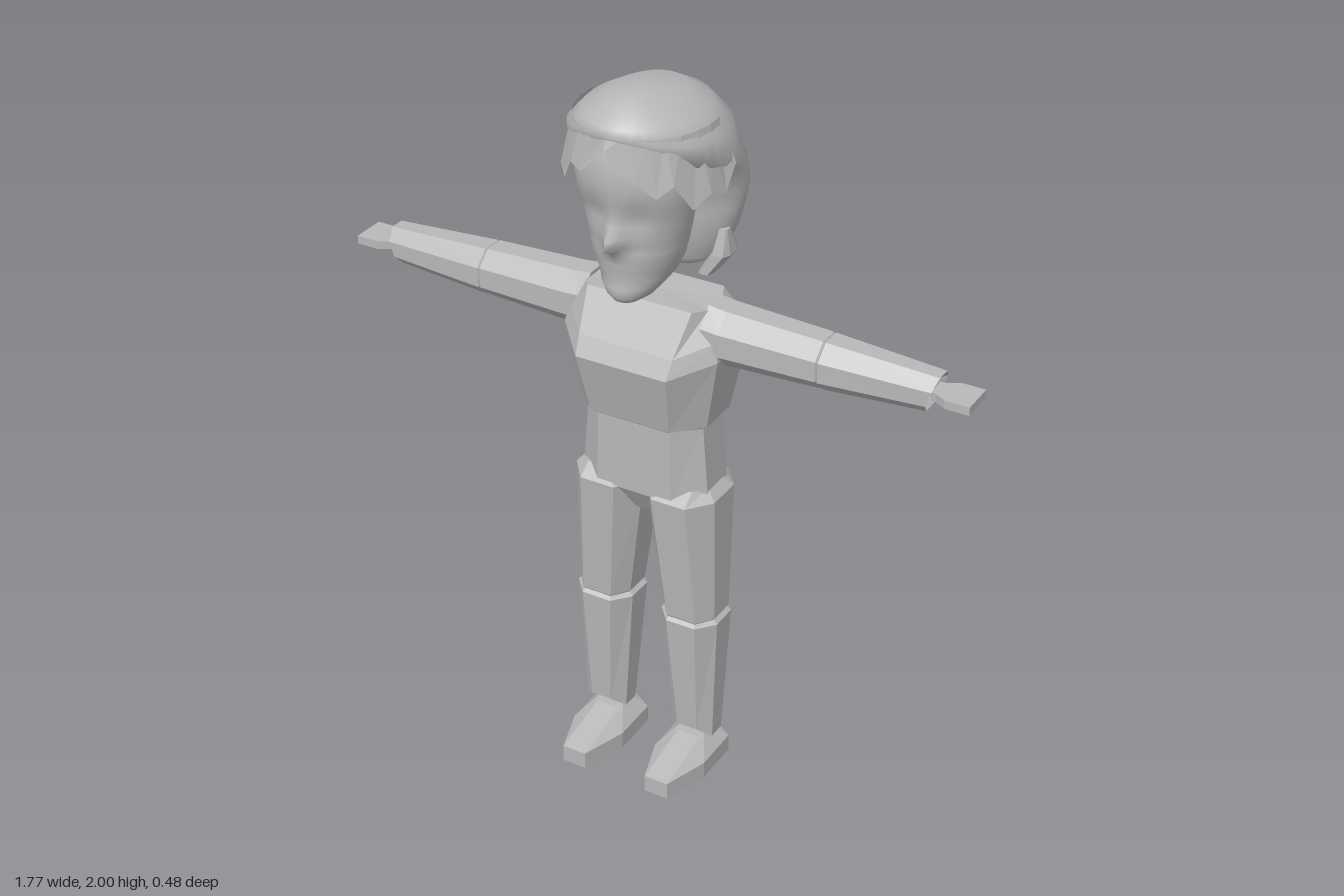
import * as THREE from 'three';

const gray = new THREE.MeshStandardMaterial({ color: 0xb8b8b8 });
gray.name = 'plain gray';

// Skins a list of closed rings (each turning positively about the travel axis) and caps both ends.
function loft(name, rings, smooth = false) {
  const n = rings[0].length, pos = rings.flat(2), idx = [];
  const at = (i, j) => i * n + (j % n);
  for (let i = 0; i < rings.length - 1; i++)
    for (let j = 0; j < n; j++) {
      const a = at(i, j), b = at(i, j + 1), c = at(i + 1, j + 1), d = at(i + 1, j);
      idx.push(a, b, c, a, c, d);
    }
  [0, rings.length - 1].forEach((r) => {
    const mid = [0, 1, 2].map((k) => rings[r].reduce((s, p) => s + p[k], 0) / n);
    const m = pos.length / 3;
    pos.push(...mid);
    for (let j = 0; j < n; j++)
      r ? idx.push(m, at(r, j), at(r, j + 1)) : idx.push(m, at(r, j + 1), at(r, j));
  });
  let g = new THREE.BufferGeometry();
  g.setAttribute('position', new THREE.Float32BufferAttribute(pos, 3));
  g.setIndex(idx);
  if (!smooth) g = g.toNonIndexed();
  g.computeVertexNormals();
  const mesh = new THREE.Mesh(g, gray);
  mesh.name = name;
  return mesh;
}

const mirror = (rings) => rings.map((r) => r.map(([x, y, z]) => [-x, y, z]).reverse());

// Eight-sided horizontal section: a, b = half widths of the front and back edges, w = overall half width.
function ring8({ cx = 0, y, ys = y, a, b = a, w, zf, zb, sf = zf * 0.4, sb = zb * 0.5 }) {
  return [[a, y, zf], [w, ys, sf], [w, ys, sb], [b, y, zb],
    [-b, y, zb], [-w, ys, sb], [-w, ys, sf], [-a, y, zf]].map(([x, yy, z]) => [cx + x, yy, z]);
}

// Octagonal arm section facing +x; the end can slant so that its top reaches further out.
function armRing(x, y, ry, rz, slant = 0) {
  return Array.from({ length: 8 }, (_, k) => {
    const t = (k + 0.5) * Math.PI / 4, c = Math.cos(t) / 0.924, s = Math.sin(t) / 0.924;
    return [x + slant * c, y + ry * c, -0.012 + rz * s];
  });
}

// Smooth oval section, with optional lift of its front.
function oval([y, w, zf, zb, lift = 0], n = 36) {
  return Array.from({ length: n }, (_, k) => {
    const t = k / n * Math.PI * 2, c = Math.cos(t);
    return [w * Math.sin(t), y + lift * Math.max(0, c) ** 2, (zf + zb) / 2 + (zf - zb) / 2 * c];
  });
}

const bump = (v, centre, width) => Math.exp(-(((v - centre) / width) ** 2));

function buildHead() {
  const head = new THREE.Group();
  head.name = 'head';

  // Face with nose, lips and eye hollows
  const rows = [[1.47, 0.035, 0.165, 0.09], [1.485, 0.06, 0.175, 0.04], [1.51, 0.08, 0.178, 0],
    [1.535, 0.097, 0.168, -0.03], [1.56, 0.108, 0.18, -0.05], [1.575, 0.114, 0.174, -0.05],
    [1.59, 0.119, 0.183, -0.05], [1.615, 0.126, 0.178, -0.05], [1.635, 0.13, 0.18, -0.05],
    [1.66, 0.136, 0.183, -0.05], [1.69, 0.142, 0.185, -0.05], [1.72, 0.148, 0.19, -0.05],
    [1.75, 0.153, 0.203, -0.05], [1.8, 0.16, 0.208, -0.05], [1.86, 0.16, 0.205, -0.05],
    [1.91, 0.145, 0.185, -0.05]];
  const face = rows.map((r) => oval(r).map(([x, y, z]) => {
    if (z < 0.08) return [x, y, z];
    const nose = 0.058 * bump(x, 0, 0.022) * bump(y, 1.637, y > 1.637 ? 0.055 : 0.02);
    const eyes = 0.014 * bump(Math.abs(x), 0.058, 0.03) * bump(y, 1.715, 0.028);
    return [x, y, z + nose - eyes];
  }));
  head.add(loft('face', face, true));

  // Hair cap and back of the hair
  const hair = [[1.5, 0.1, -0.03, -0.15], [1.53, 0.15, 0, -0.185], [1.62, 0.185, 0.01, -0.2],
    [1.67, 0.196, 0.02, -0.22], [1.72, 0.2, 0.02, -0.24], [1.79, 0.205, 0.07, -0.225, 0.05],
    [1.83, 0.21, 0.2, -0.212, 0.06], [1.9, 0.198, 0.225, -0.197, 0.03], [1.95, 0.15, 0.21, -0.155],
    [1.985, 0.088, 0.17, -0.09], [2, 0.03, 0.11, 0.02]];
  head.add(loft('hair', hair.map((r) => oval(r)), true));

  // Jagged fringe: angle from the front in degrees, height of the lower edge
  const tips = [[-100, 1.81], [-82, 1.76], [-66, 1.74], [-52, 1.8], [-40, 1.78], [-30, 1.84],
    [-19, 1.83], [0, 1.9], [12, 1.85], [21, 1.83], [34, 1.79], [45, 1.82], [58, 1.75],
    [72, 1.78], [86, 1.76], [100, 1.82]];
  const edge = tips.map(([deg, y]) => {
    const t = THREE.MathUtils.degToRad(deg), s = Math.sin(t), c = Math.cos(t);
    return [[0.218 * s, y, 0.012 + 0.222 * c], [0.178 * s, 1.935, 0.022 + 0.2 * c]];
  });
  const tri = [];
  for (let i = 0; i < edge.length - 1; i++) {
    const [[a, d], [b, c]] = [edge[i], edge[i + 1]];
    tri.push(...a, ...b, ...c, ...a, ...c, ...d);
  }
  const g = new THREE.BufferGeometry();
  g.setAttribute('position', new THREE.Float32BufferAttribute(tri, 3));
  g.computeVertexNormals();
  const sheet = gray.clone();
  sheet.side = THREE.DoubleSide;
  const fringe = new THREE.Mesh(g, sheet);
  fringe.name = 'fringe';
  head.add(fringe);

  // Locks beside the neck
  const lock = [
    ring8({ cx: 0.125, y: 1.49, a: 0.012, w: 0.02, zf: -0.03, zb: -0.1, sf: -0.05, sb: -0.08 }),
    ring8({ cx: 0.165, y: 1.55, a: 0.015, w: 0.025, zf: -0.03, zb: -0.11, sf: -0.05, sb: -0.09 }),
    ring8({ cx: 0.17, y: 1.62, a: 0.008, w: 0.012, zf: -0.045, zb: -0.07, sf: -0.05, sb: -0.06 })];
  head.add(loft('leftLock', lock), loft('rightLock', mirror(lock)));
  return head;
}

export function createModel() {
  const model = new THREE.Group();
  model.name = 'figure';
  model.add(buildHead());

  // Chest, waist and pelvis
  model.add(loft('chest', [
    ring8({ y: 1.09, a: 0.1, w: 0.165, zf: 0.1, zb: -0.125 }),
    ring8({ y: 1.105, a: 0.115, w: 0.185, zf: 0.12, zb: -0.145 }),
    ring8({ y: 1.28, ys: 1.31, a: 0.13, b: 0.15, w: 0.222, zf: 0.165, zb: -0.165, sb: -0.1 }),
    ring8({ y: 1.33, ys: 1.36, a: 0.135, b: 0.15, w: 0.212, zf: 0.138, zb: -0.178, sb: -0.1 }),
    ring8({ y: 1.435, ys: 1.43, a: 0.15, w: 0.175, zf: 0.07, zb: -0.095 })]));
  model.add(loft('waist', [
    ring8({ y: 0.8, a: 0.02, w: 0.03, zf: 0.05, zb: -0.07 }),
    ring8({ y: 0.88, ys: 0.9, a: 0.11, w: 0.185, zf: 0.1, zb: -0.125 }),
    ring8({ y: 1.1, a: 0.105, w: 0.17, zf: 0.1, zb: -0.122 })]));

  // Limbs, built for the left side and mirrored
  const limbs = {
    UpperArm: [armRing(0.17, 1.36, 0.08, 0.077), armRing(0.22, 1.358, 0.076, 0.077),
      armRing(0.485, 1.358, 0.066, 0.07), armRing(0.495, 1.358, 0.055, 0.058)],
    Forearm: [armRing(0.483, 1.358, 0.055, 0.058), armRing(0.492, 1.357, 0.066, 0.07),
      armRing(0.777, 1.357, 0.05, 0.05, 0.015), armRing(0.762, 1.357, 0.038, 0.038, 0.012)],
    Hand: [[0.775, 0.028], [0.79, 0.03], [0.82, 0.048], [0.885, 0.048]].map(([x, r]) =>
      [[x, 1.37, -0.008 - r], [x, 1.37, -0.008 + r], [x, 1.347, -0.008 + r], [x, 1.347, -0.008 - r]]),
    Thigh: [
      ring8({ cx: 0.13, y: 0.49, a: 0.035, w: 0.065, zf: 0.065, zb: -0.08 }),
      ring8({ cx: 0.13, y: 0.505, a: 0.043, w: 0.077, zf: 0.078, zb: -0.093 }),
      ring8({ cx: 0.106, y: 0.88, a: 0.05, w: 0.102, zf: 0.11, zb: -0.125 }),
      ring8({ cx: 0.125, y: 0.91, a: 0.03, w: 0.055, zf: 0.07, zb: -0.085 })],
    Shin: [
      ring8({ cx: 0.137, y: 0.13, ys: 0.1, a: 0.03, w: 0.062, zf: 0.052, zb: -0.06 }),
      ring8({ cx: 0.13, y: 0.49, a: 0.043, w: 0.085, zf: 0.082, zb: -0.092 }),
      ring8({ cx: 0.13, y: 0.503, a: 0.038, w: 0.07, zf: 0.07, zb: -0.08 })],
    Foot: [
      ring8({ cx: 0.13, y: 0, a: 0.035, b: 0.045, w: 0.078, zf: 0.21, zb: -0.09, sf: 0.08, sb: -0.06 }),
      ring8({ cx: 0.13, y: 0.05, a: 0.035, b: 0.045, w: 0.078, zf: 0.21, zb: -0.09, sf: 0.08, sb: -0.06 }),
      ring8({ cx: 0.13, y: 0.092, a: 0.03, w: 0.04, zf: 0.035, zb: -0.06 })],
  };
  for (const [part, rings] of Object.entries(limbs))
    model.add(loft('left' + part, rings), loft('right' + part, mirror(rings)));
  return model;
}
